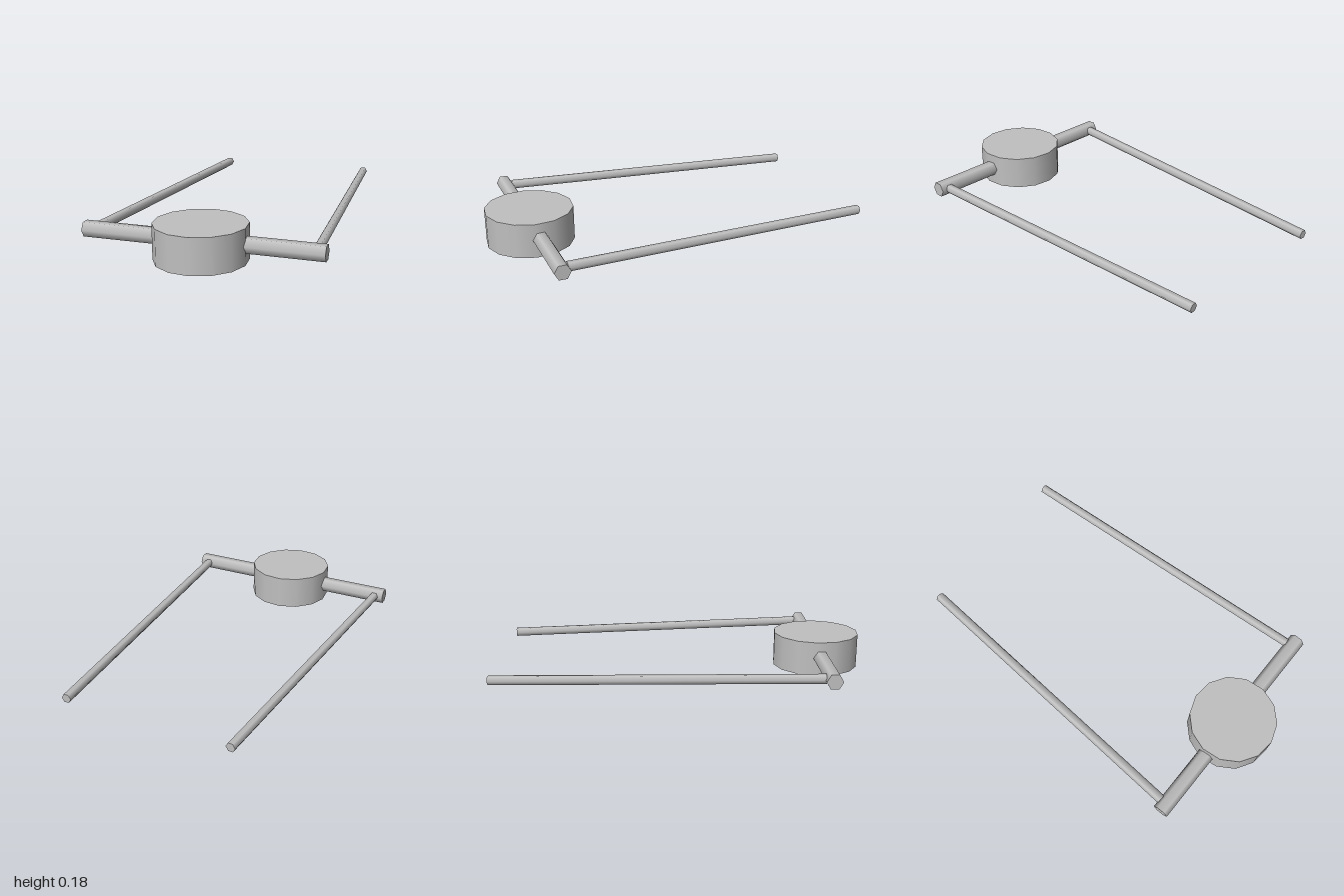
import * as THREE from 'three';

const grey = new THREE.MeshStandardMaterial({ color: 0xc0c0c0 });
grey.name = 'grey';

// Six-sided rod between two points, with its flats above and below
function rod(name, from, to, radius) {
  const a = new THREE.Vector3(...from);
  const b = new THREE.Vector3(...to);
  const geometry = new THREE.CylinderGeometry(radius, radius, a.distanceTo(b), 6, 1, false, Math.PI / 2);
  geometry.rotateX(Math.PI / 2);
  const mesh = new THREE.Mesh(geometry, grey);
  mesh.name = name;
  mesh.position.copy(a).add(b).multiplyScalar(0.5);
  mesh.lookAt(b);
  return mesh;
}

export function createModel() {
  const model = new THREE.Group();
  model.name = 'discWithArms';

  // Fourteen-sided disc
  const disc = new THREE.Mesh(
    new THREE.CylinderGeometry(0.228, 0.228, 0.18, 14, 1, false, Math.PI / 2), grey);
  disc.name = 'disc';
  disc.position.set(-0.54, 0.09, 0.54);
  model.add(disc);

  // Crossbar through the disc
  model.add(rod('crossbar', [-0.965, 0.094, 0.113], [-0.113, 0.094, 0.965], 0.042));

  // Long arms, mirrored across the diagonal
  model.add(rod('rightArm', [-0.905, 0.095, 0.125], [0.352, 0.058, -0.982], 0.025));
  model.add(rod('leftArm', [-0.125, 0.095, 0.905], [0.982, 0.058, -0.352], 0.025));

  return model;
}
